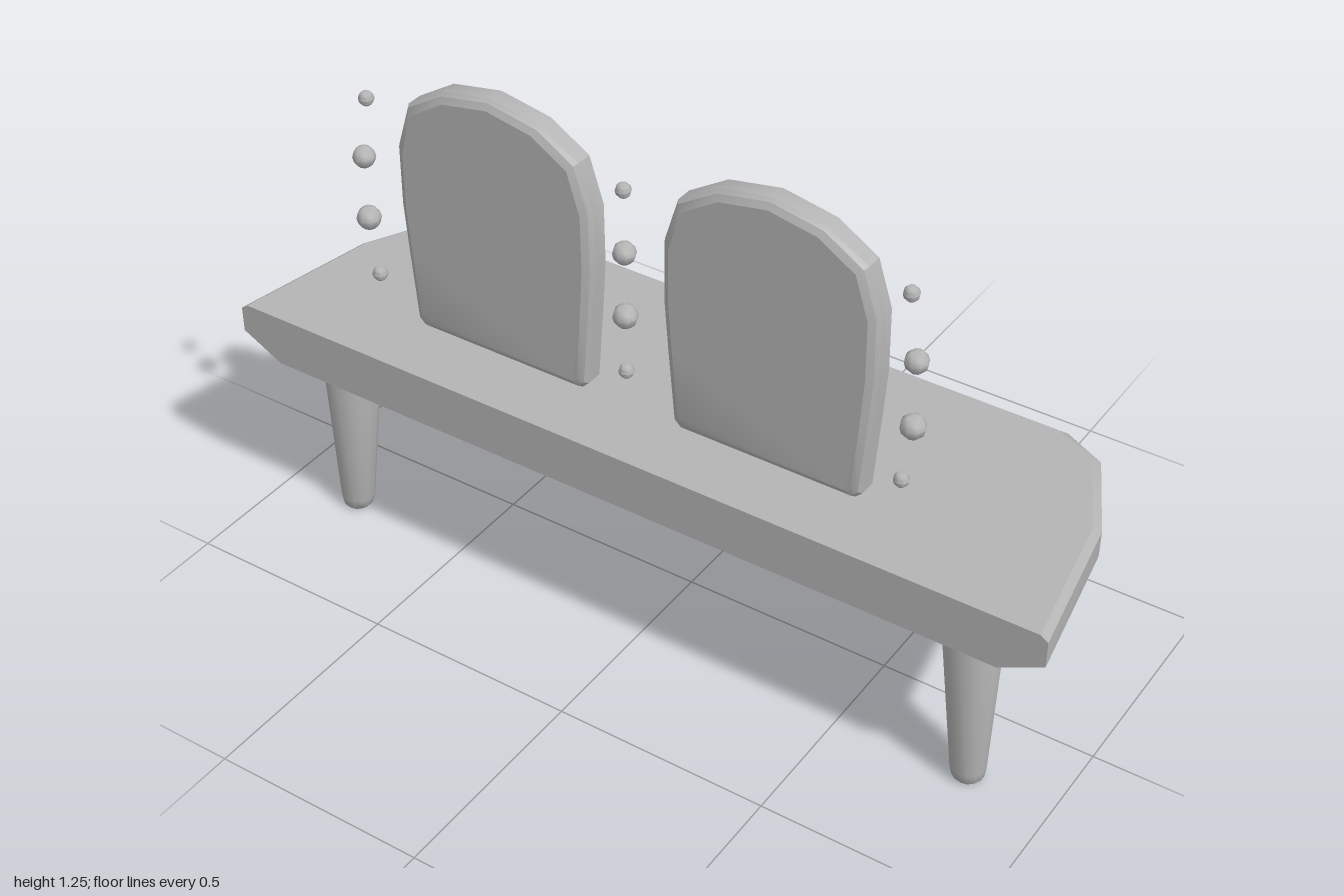
import * as THREE from 'three';
import { mergeVertices, toCreasedNormals } from 'three/addons/utils/BufferGeometryUtils.js';

// Skin through rings of equal point count (counter-clockwise from +z), capped at both ends
function loft(rings, crease) {
  const pos = [], n = rings[0].length;
  const tri = (a, b, c) => pos.push(...a, ...b, ...c);
  for (let r = 0; r < rings.length - 1; r++) {
    for (let i = 0; i < n; i++) {
      const j = (i + 1) % n, a = rings[r], b = rings[r + 1];
      tri(a[i], a[j], b[j]);
      tri(a[i], b[j], b[i]);
    }
  }
  const first = rings[0], last = rings[rings.length - 1];
  for (let i = 1; i < n - 1; i++) {
    tri(first[0], first[i + 1], first[i]);
    tri(last[0], last[i], last[i + 1]);
  }
  const g = new THREE.BufferGeometry();
  g.setAttribute('position', new THREE.Float32BufferAttribute(pos, 3));
  return toCreasedNormals(mergeVertices(g, 1e-5), crease);
}

export function createModel() {
  const model = new THREE.Group();
  model.name = 'bench';
  const grey = new THREE.MeshStandardMaterial({ color: 0xb4b4b4 });
  grey.name = 'grey';
  const add = (name, geometry, x = 0, y = 0, z = 0) => {
    const m = new THREE.Mesh(geometry, grey);
    m.name = name;
    m.position.set(x, y, z);
    model.add(m);
    return m;
  };

  // Seat slab: straight front, tapered and bevelled sides and back
  const half = [[1, -0.3], [0.94, 0.05], [0.84, 0.25], [0.74, 0.3]];
  const plan = [...half, ...half.map(([x, y]) => [-x, y]).reverse()];
  const slabRing = ([h, sx, sy]) => plan.map(([x, y]) => [x * sx, -0.3 + (y + 0.3) * sy, h]);
  const slab = loft([[0.43, 0.9, 0.925], [0.482, 1, 0.993], [0.543, 1, 1], [0.555, 0.983, 0.975]].map(slabRing), 0.35);
  slab.rotateX(-Math.PI / 2);
  add('seat', slab);

  // Backrests: arched panels with a bevelled front and a recessed back
  const side = [[0.205, -0.31], [0.22, -0.295], [0.235, -0.12], [0.243, -0.01],
    [0.242, 0.13], [0.21, 0.232], [0.12, 0.288]];
  const arch = [...side, [0, 0.31], ...side.map(([x, y]) => [-x, y]).reverse()];
  const panelRing = ([inset, z]) =>
    arch.map(([x, y]) => [x * (1 - inset / 0.243), y * (1 - inset / 0.31), z]);
  const panel = loft([[0.058, 0.208], [0.045, 0.18], [0.04, 0.175], [0.012, 0.175], [0, 0.185],
    [0, 0.222], [0.006, 0.232], [0.02, 0.24]].map(panelRing), 0.45);
  for (const s of [-1, 1]) add(s < 0 ? 'rightBackrest' : 'leftBackrest', panel, s * 0.327, 0.945, 0);

  // Legs: tapered, rounded ends, feet splayed slightly outwards
  const profile = [[0, 0], [0.028, 0], [0.035, 0.008], [0.039, 0.03], [0.066, 0.415],
    [0.064, 0.428], [0.056, 0.436], [0, 0.436]].map(([r, y]) => new THREE.Vector2(r, y));
  const legGeometry = (splay, dz) => {
    const g = new THREE.LatheGeometry(profile, 14);
    const p = g.attributes.position;
    for (let i = 0; i < p.count; i++) {
      const t = 1 - p.getY(i) / 0.436;
      p.setX(i, p.getX(i) + splay * t);
      p.setZ(i, p.getZ(i) + dz * t);
    }
    return toCreasedNormals(g, 0.7);
  };
  for (const s of [-1, 1]) {
    add('frontLeg', legGeometry(s * 0.018, 0.004), s * 0.79, 0, 0.186);
    add('backLeg', legGeometry(s * 0.026, 0), s * 0.626, 0, -0.168);
  }

  // Columns of small beads beside and between the backrests
  const beads = [[0.735, 0.017, 0.638], [0.87, 0.027, 0.656], [1.02, 0.025, 0.655], [1.165, 0.017, 0.636]];
  for (const s of [-1, 0, 1]) {
    for (const [y, r, x] of beads) {
      add('bead', toCreasedNormals(new THREE.SphereGeometry(r, 8, 6), 0.9), s * x, y, 0.238);
    }
  }
  return model;
}
